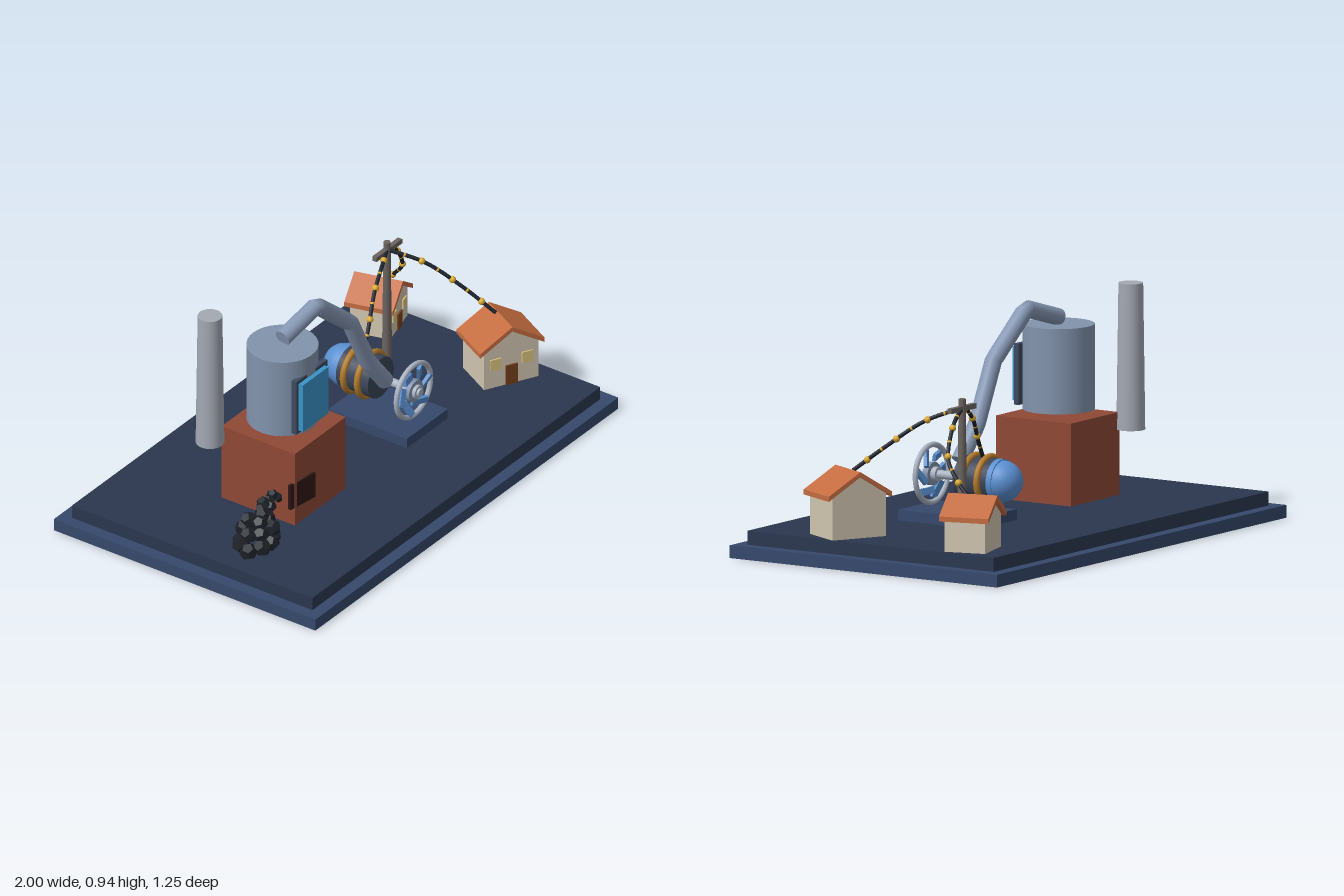
import * as THREE from 'three';

const mat = (color, extra = {}) => new THREE.MeshStandardMaterial({ color, ...extra });
const M = {
  plinth: mat(0x36486b), deck: mat(0x2b374f), brick: mat(0x8f4836), iron: mat(0x2e1815),
  steel: mat(0x8293ac), pipe: mat(0x8798b5), stack: mat(0xa3a8b2), frame: mat(0x3c4a60),
  glass: mat(0x3a94c8), coal: mat(0x1d2127, { flatShading: true }), metal: mat(0xa9b3c2),
  blade: mat(0x5a8fd0), body: mat(0x3b4557), copper: mat(0xb27a2c), wood: mat(0x6b6460),
  wall: mat(0xd0c5b0), roof: mat(0xc46c40), door: mat(0x75401f), window: mat(0xd9c27c),
  wire: mat(0x1d222c), gold: mat(0xdcaa30),
};

export function createModel() {
  const model = new THREE.Group();
  model.name = 'powerPlantDiorama';

  const add = (name, geo, material, x = 0, y = 0, z = 0, parent = model) => {
    const mesh = new THREE.Mesh(geo, material);
    mesh.name = name;
    mesh.position.set(x, y, z);
    parent.add(mesh);
    return mesh;
  };
  const box = (name, w, h, d, material, x, y, z, parent) =>
    add(name, new THREE.BoxGeometry(w, h, d), material, x, y, z, parent);
  const cyl = (name, rTop, rBottom, h, material, x, y, z, parent, sides = 32) =>
    add(name, new THREE.CylinderGeometry(rTop, rBottom, h, sides), material, x, y, z, parent);
  const vecs = (pts) => pts.map((p) => new THREE.Vector3(...p));

  // Stepped base
  box('plinth', 2, 0.05, 1.25, M.plinth, 0, 0.025, 0);
  box('deck', 1.9, 0.055, 1.15, M.deck, 0, 0.0775, 0);

  // Furnace with its open fire door
  box('furnace', 0.335, 0.325, 0.35, M.brick, -0.393, 0.2675, 0.034);
  const fireDoor = box('fireDoor', 0.14, 0.11, 0.012, M.iron, -0.512, 0.238, 0.208);
  fireDoor.rotation.y = -0.15;

  // Boiler with a framed sight panel
  cyl('boiler', 0.14, 0.14, 0.335, M.steel, -0.395, 0.6175, 0.03);
  box('panelFrame', 0.205, 0.24, 0.022, M.frame, -0.39, 0.588, 0.156);
  box('sightPanel', 0.17, 0.212, 0.02, M.glass, -0.392, 0.587, 0.177);

  // Chimney
  cyl('chimney', 0.048, 0.056, 0.575, M.stack, -0.59, 0.65, -0.175);

  // Steam pipe with sharp bends
  const pipeCurve = new THREE.CatmullRomCurve3(vecs([
    [-0.395, 0.81, 0.03], [-0.2, 0.868, 0.05], [0.005, 0.69, 0.065], [0.12, 0.455, 0.065], [0.215, 0.325, 0.08],
  ]), false, 'catmullrom', 0);
  add('steamPipe', new THREE.TubeGeometry(pipeCurve, 32, 0.034, 16), M.pipe);
  [[0, -1], [1, 1]].forEach(([t, dir]) => {
    const cap = add('pipeEnd', new THREE.CircleGeometry(0.034, 16), M.pipe);
    cap.position.copy(pipeCurve.getPointAt(t));
    cap.lookAt(cap.position.clone().addScaledVector(pipeCurve.getTangentAt(t), dir));
  });

  // Coal: a heap made of rings, with a trail to the fire door
  const coal = new THREE.Group();
  coal.name = 'coalPile';
  model.add(coal);
  const lump = (x, y, z, r, i) =>
    add('coalLump', new THREE.DodecahedronGeometry(r), M.coal, x, y, z, coal).rotation.set(i * 1.3, i * 2.1, i * 0.7);
  [[9, 0.085, 0.137, 0.036], [6, 0.065, 0.185, 0.034], [3, 0.035, 0.225, 0.032]].forEach(([n, spread, y, r], k) => {
    for (let i = 0; i < n; i++) {
      const a = (i / n) * Math.PI * 2 + k;
      const wob = 1 + 0.15 * Math.sin(i * 5 + k);
      lump(-0.765 + Math.cos(a) * spread * wob, y + 0.01 * Math.sin(i * 3), 0.175 + Math.sin(a) * spread * 0.75 * wob, r, i + k);
    }
  });
  for (let i = 0; i < 6; i++) {
    lump(-0.68 + i * 0.023, 0.215 + 0.012 * Math.sin(i * 2), 0.14 - i * 0.004 + 0.012 * Math.sin(i * 4), 0.029 - i * 0.0015, i);
  }

  // Generator pedestal
  box('pedestal', 0.27, 0.042, 0.374, M.plinth, 0.285, 0.126, 0.043);

  // Generator and turbine share one axis along z
  const machine = new THREE.Group();
  machine.name = 'turbineGenerator';
  machine.position.set(0.285, 0.277, 0);
  model.add(machine);
  const axial = (name, r, z0, z1, material) => {
    cyl(name, r, r, z1 - z0, material, 0, 0, (z0 + z1) / 2, machine).rotation.x = Math.PI / 2;
  };
  axial('generatorBody', 0.086, -0.145, 0.008, M.body);
  axial('generatorCollar', 0.086, -0.168, -0.145, M.blade);
  add('generatorDome', new THREE.SphereGeometry(0.081, 32, 20), M.blade, 0, 0, -0.167, machine);
  for (const z of [-0.04, -0.107]) {
    add('copperCoil', new THREE.TorusGeometry(0.091, 0.013, 12, 40), M.copper, 0, 0, z, machine);
  }
  axial('shaft', 0.017, 0, 0.2, M.metal);
  axial('shaftHub', 0.028, 0.13, 0.19, M.metal);
  axial('hubPlate', 0.046, 0.152, 0.176, M.steel);
  add('turbineRim', new THREE.TorusGeometry(0.113, 0.011, 10, 40), M.metal, 0, 0, 0.164, machine);
  for (let i = 0; i < 6; i++) {
    const arm = new THREE.Group();
    arm.name = 'turbineBlade';
    arm.rotation.z = (i / 6) * Math.PI * 2;
    machine.add(arm);
    box('blade', 0.075, 0.027, 0.014, M.blade, 0.076, 0, 0.164, arm).rotation.set(0.35, 0, 0.95);
  }

  // Utility pole
  cyl('pole', 0.014, 0.02, 0.545, M.wood, 0.62, 0.3775, -0.205, model, 12);
  box('crossbar', 0.17, 0.02, 0.02, M.wood, 0.622, 0.612, -0.205);

  // Houses: gabled walls under a chevron roof, ridge running front to back
  const extrude = (pts, depth) => {
    const shape = new THREE.Shape(pts.map(([x, y]) => new THREE.Vector2(x, y)));
    return new THREE.ExtrudeGeometry(shape, { depth, bevelEnabled: false }).translate(0, 0, -depth / 2);
  };
  const house = (name, x, z, turn, w, d, roofW, roofD, eave, ridge) => {
    const g = new THREE.Group();
    g.name = name;
    g.position.set(x, 0.105, z);
    g.rotation.y = turn;
    model.add(g);
    const t = 0.02, a = w / 2, b = roofW / 2;
    const shoulder = ridge - t - (ridge - eave) * (a / b);
    add('walls', extrude([[-a, 0], [a, 0], [a, shoulder], [0, ridge - t], [-a, shoulder]], d), M.wall, 0, 0, 0, g);
    add('roof', extrude([[-b, eave - t], [0, ridge - t], [b, eave - t], [b, eave], [0, ridge], [-b, eave]], roofD), M.roof, 0, 0, 0, g);
    box('door', w * 0.22, eave * 0.5, 0.01, M.door, 0, eave * 0.25, d / 2 + 0.002, g);
    for (const s of [-1, 1]) {
      box('window', w * 0.2, eave * 0.28, 0.008, M.window, s * w * 0.29, eave * 0.6, d / 2 + 0.002, g);
    }
  };
  house('frontHouse', 0.815, 0.197, -0.485, 0.235, 0.185, 0.278, 0.206, 0.175, 0.261);
  house('backHouse', 0.823, -0.392, 0.265, 0.19, 0.166, 0.22, 0.202, 0.14, 0.216);

  // Sagging wires threaded with gold beads
  const wires = {
    generatorWire: [[0.285, 0.365, -0.075], [0.345, 0.435, -0.095], [0.44, 0.535, -0.135], [0.54, 0.595, -0.17], [0.62, 0.615, -0.205]],
    frontHouseWire: [[0.62, 0.615, -0.205], [0.7, 0.56, -0.08], [0.77, 0.46, 0.05], [0.82, 0.362, 0.17]],
    backHouseWire: [[0.62, 0.615, -0.205], [0.71, 0.56, -0.225], [0.79, 0.44, -0.255], [0.815, 0.37, -0.31], [0.825, 0.315, -0.365]],
  };
  for (const [name, pts] of Object.entries(wires)) {
    const curve = new THREE.CatmullRomCurve3(vecs(pts));
    const g = new THREE.Group();
    g.name = name;
    model.add(g);
    add('cable', new THREE.TubeGeometry(curve, 28, 0.008, 8), M.wire, 0, 0, 0, g);
    for (let i = 1; i <= 6; i++) {
      const p = curve.getPointAt(i / 7);
      add('bead', new THREE.SphereGeometry(i % 2 ? 0.009 : 0.014, 14, 10), M.gold, p.x, p.y, p.z, g);
    }
  }
  return model;
}
